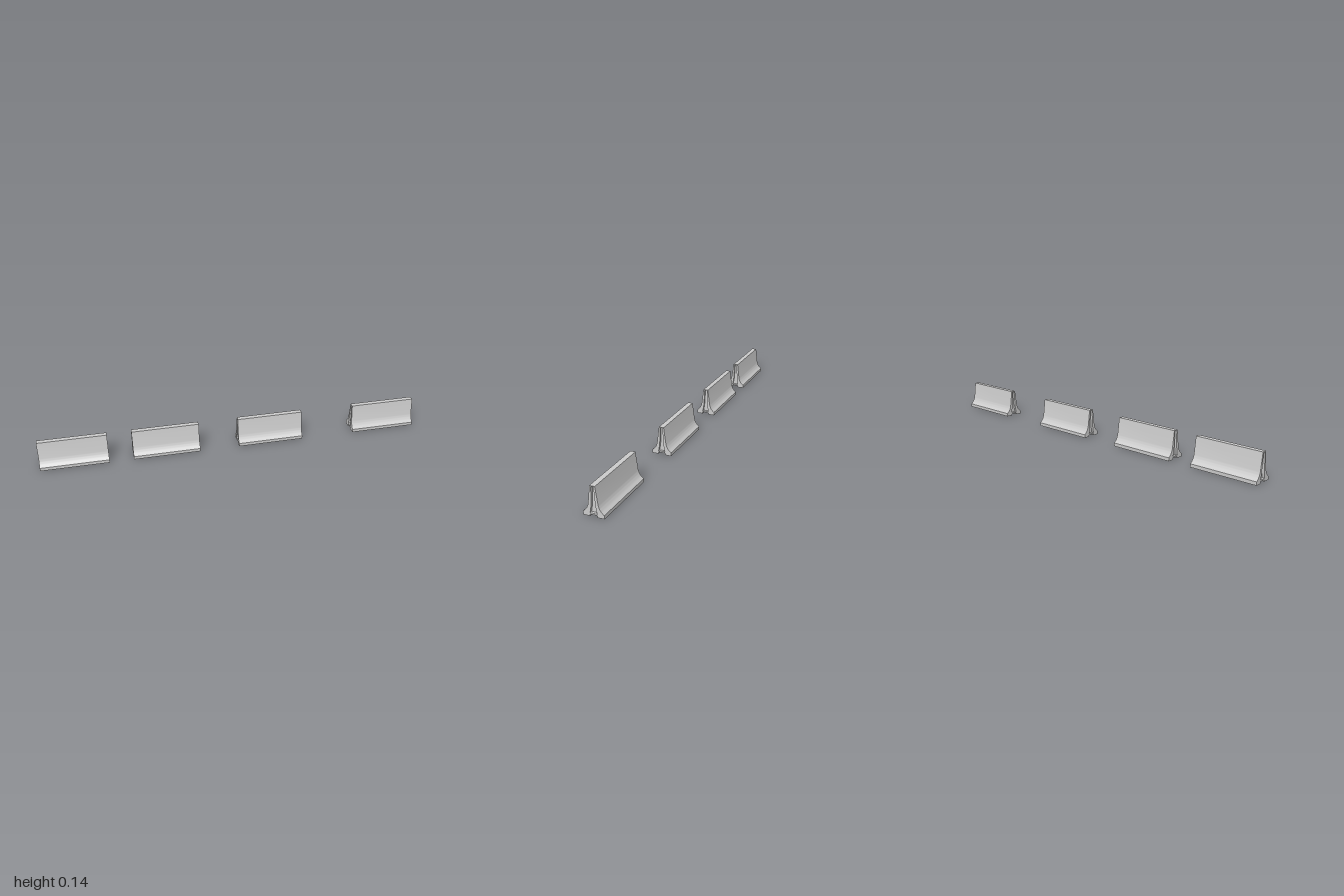
import * as THREE from 'three';
import { mergeGeometries, toCreasedNormals } from 'three/addons/utils/BufferGeometryUtils.js';

const LENGTH = 0.346, HALF = LENGTH / 2, GROOVE = 0.012;

// Counter-clockwise symmetric outline from its right half (bottom to top)
const mirrored = (half) => [...half, ...half.map((p) => new THREE.Vector2(-p.x, p.y)).reverse()];

const flare = (start, control, end) =>
  new THREE.QuadraticBezierCurve(new THREE.Vector2(...start), new THREE.Vector2(...control), new THREE.Vector2(...end)).getPoints(8);

// Open wall that sweeps a closed outline from z0 to z1
function wall(outline, z0, z1) {
  const pos = [];
  outline.forEach((a, i) => {
    const b = outline[(i + 1) % outline.length];
    pos.push(a.x, a.y, z0, b.x, b.y, z0, b.x, b.y, z1);
    pos.push(a.x, a.y, z0, b.x, b.y, z1, a.x, a.y, z1);
  });
  const g = new THREE.BufferGeometry();
  g.setAttribute('position', new THREE.Float32BufferAttribute(pos, 3));
  g.computeVertexNormals();
  return toCreasedNormals(g, 0.4);
}

// Flat face at depth z
function face(shape, z) {
  const g = new THREE.ShapeGeometry(shape).toNonIndexed();
  g.deleteAttribute('uv');
  return g.translate(0, 0, z);
}

export function createModel() {
  const material = new THREE.MeshStandardMaterial({ color: 0xcccccc });
  const v = (x, y) => new THREE.Vector2(x, y);

  // Flared cross-section with a drainage notch underneath
  const profile = mirrored([
    v(0.017, 0.009), v(0.017, 0), v(0.05, 0),
    ...flare([0.05, 0.017], [0.03, 0.031], [0.024, 0.056]),
    v(0.0125, 0.143),
  ]);
  // Keyway recessed into each end
  const groove = mirrored([
    ...flare([0.017, 0.016], [0.011, 0.04], [0.0095, 0.065]),
    v(0.006, 0.139),
  ]);

  const bodyGeometry = wall(profile, -HALF, HALF).rotateY(Math.PI / 2);

  const rim = new THREE.Shape(profile);
  rim.holes.push(new THREE.Path(groove));
  const endGeometry = mergeGeometries([
    face(rim, HALF),
    wall([...groove].reverse(), HALF - GROOVE, HALF),
    face(new THREE.Shape(groove), HALF - GROOVE),
  ]).rotateY(Math.PI / 2);

  const model = new THREE.Group();
  model.name = 'roadBarriers';
  [-1 + HALF, -0.357, 0.196, 1 - HALF].forEach((x, i) => {
    const barrier = new THREE.Group();
    barrier.name = `barrier${i + 1}`;
    barrier.position.x = x;

    const body = new THREE.Mesh(bodyGeometry, material);
    body.name = 'body';
    const leftEnd = new THREE.Mesh(endGeometry, material);
    leftEnd.name = 'leftEnd';
    const rightEnd = new THREE.Mesh(endGeometry, material);
    rightEnd.name = 'rightEnd';
    rightEnd.rotation.y = Math.PI;

    barrier.add(body, leftEnd, rightEnd);
    model.add(barrier);
  });
  return model;
}
